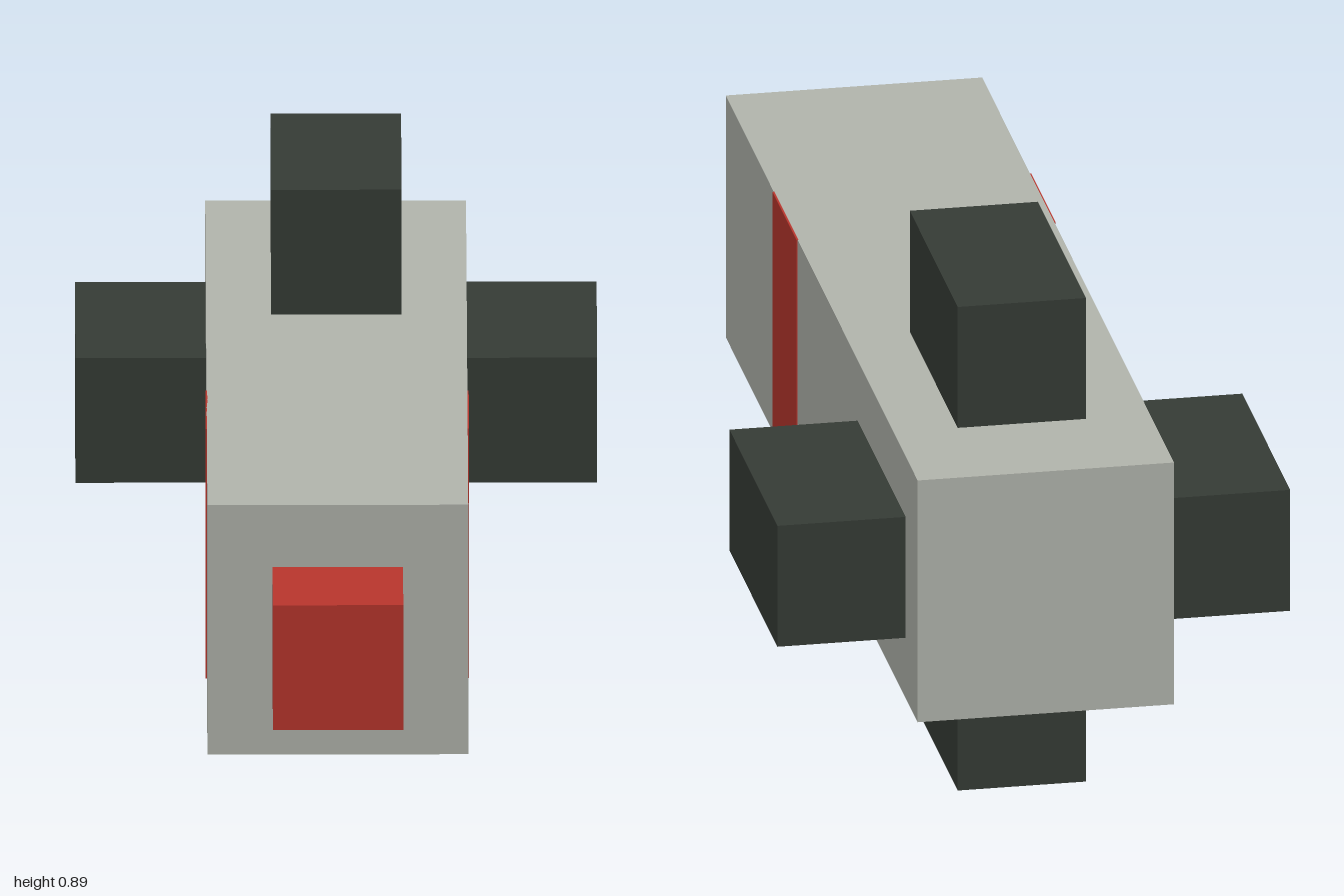
import * as THREE from 'three';

const U = 1 / 9; // one grid block

export function createModel() {
  const paint = (name, color) => {
    const m = new THREE.MeshStandardMaterial({ color });
    m.name = name;
    return m;
  };
  const grey = paint('body grey', 0xb0b3ab);
  const red = paint('signal red', 0xb7352c);
  const dark = paint('fin dark green', 0x353b35);

  const model = new THREE.Group();
  model.name = 'rocket';

  // Box given by size and centre, in grid blocks
  const block = (name, material, [w, h, d], [x, y, z]) => {
    const mesh = new THREE.Mesh(new THREE.BoxGeometry(w * U, h * U, d * U), material);
    mesh.position.set(x * U, y * U, z * U);
    mesh.name = name;
    model.add(mesh);
  };

  // Hull and nose
  block('body', grey, [4, 4, 16], [0, 4, -1]);
  block('nose', red, [2, 2, 2], [0, 4, 8]);

  // Side fins, set one block further back, and the side stripes
  for (const [side, s] of [['left', 1], ['right', -1]]) {
    block(side + 'Fin', dark, [2, 2, 4], [s * 3, 4, -6]);
    block(side + 'Stripe', red, [0.03, 4, 2], [s * 2.005, 4, 2]);
  }

  // Top and bottom fins
  block('topFin', dark, [2, 2, 4], [0, 7, -5]);
  block('bottomFin', dark, [2, 2, 4], [0, 1, -5]);

  return model;
}
